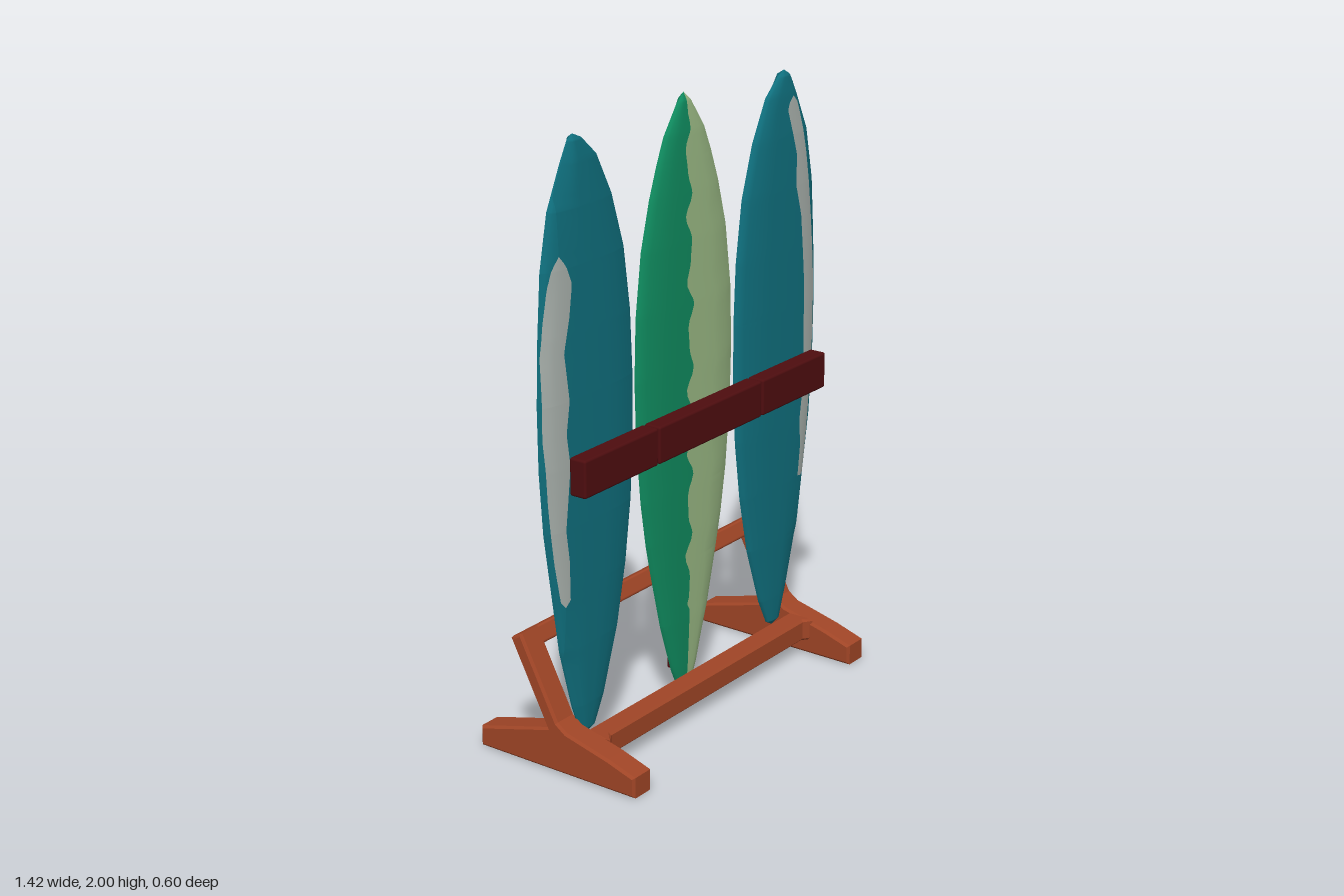
import * as THREE from 'three';
import { RoundedBoxGeometry } from 'three/addons/geometries/RoundedBoxGeometry.js';

const mat = (name, color) => {
  const m = new THREE.MeshStandardMaterial({ color });
  m.name = name;
  return m;
};

// Linear lookup in a table of [y, a, b...] rows with rising y
function lookup(table, y) {
  if (y <= table[0][0]) return table[0].slice(1);
  for (let i = 1; i < table.length; i++) {
    const p = table[i - 1], q = table[i];
    if (y <= q[0]) {
      const t = (y - p[0]) / (q[0] - p[0]);
      return p.slice(1).map((v, k) => v + (q[k + 1] - v) * t);
    }
  }
  return table[table.length - 1].slice(1);
}

// Evenly spaced values from a to b
const span = (a, b, n) => Array.from({ length: n + 1 }, (_, i) => a + (b - a) * i / n);

// Skin made of rows of points; colours[j] is the material of column j
function skin(rows, colours, flip) {
  const n = rows[0].length, index = [];
  const g = new THREE.BufferGeometry();
  g.setAttribute('position', new THREE.Float32BufferAttribute(rows.flat(2), 3));
  for (let j = 0; j < n - 1; j++) {
    g.addGroup(index.length, (rows.length - 1) * 6, colours[j]);
    for (let i = 0; i < rows.length - 1; i++) {
      const a = i * n + j, b = a + 1, c = b + n, d = a + n;
      index.push(...(flip ? [a, c, b, a, d, c] : [a, b, c, a, c, d]));
    }
  }
  g.setIndex(index);
  g.computeVertexNormals();
  return g;
}

// Board outlines: [y, centre x, half width]
const middleOutline = [
  [0.02, 0, 0], [0.035, 0, 0.02], [0.13, 0, 0.065], [0.3, 0, 0.122], [0.5, 0, 0.172],
  [0.6, 0, 0.195], [0.75, 0, 0.22], [0.95, 0, 0.24], [1.15, 0, 0.247], [1.35, 0, 0.24],
  [1.55, 0, 0.213], [1.7, 0, 0.172], [1.8, 0, 0.135], [1.88, 0, 0.1], [1.97, 0, 0.035], [2, 0, 0],
];
const sideOutline = [
  [0.09, 0.5, 0], [0.11, 0.5, 0.035], [0.2, 0.495, 0.075], [0.4, 0.488, 0.137], [0.6, 0.482, 0.175],
  [0.8, 0.484, 0.205], [1, 0.486, 0.219], [1.2, 0.487, 0.221], [1.4, 0.488, 0.212], [1.6, 0.495, 0.19],
  [1.77, 0.505, 0.145], [1.9, 0.508, 0.08], [1.96, 0.525, 0.03], [1.975, 0.53, 0],
];

// Front paint patches: [y, inner x, outer x]
const longPatch = [
  [0.6, 0.6, 0.645], [0.7, 0.61, 0.655], [0.8, 0.6, 0.66], [0.9, 0.615, 0.67], [1.1, 0.615, 0.685],
  [1.3, 0.61, 0.68], [1.5, 0.59, 0.655], [1.6, 0.56, 0.64], [1.7, 0.565, 0.625], [1.8, 0.535, 0.6],
  [1.85, 0.52, 0.585], [1.89, 0.54, 0.57],
];
const shortPatch = [
  [0.57, 0.6, 0.635], [0.7, 0.605, 0.66], [0.8, 0.62, 0.675], [0.9, 0.61, 0.685], [1, 0.6, 0.692],
  [1.1, 0.615, 0.7], [1.2, 0.6, 0.7], [1.35, 0.62, 0.7], [1.45, 0.595, 0.69], [1.55, 0.58, 0.675],
  [1.6, 0.6, 0.66], [1.63, 0.62, 0.64],
];

// Board with a softly domed front and a ridged back; side = -1 mirrors it
function board(name, outline, materials, side, patchAt, backMargin) {
  const group = new THREE.Group();
  group.name = name;
  const widest = Math.max(...outline.map(p => p[2]));
  const y0 = outline[0][0], y1 = outline[outline.length - 1][0];
  const ys = [...new Set([...span(y0, y1, 90), ...outline.map(p => p[0])])].sort((a, b) => a - b);
  const front = [], inner = [], outer = [];
  for (const y of ys) {
    const [cx, hw] = lookup(outline, y);
    const t = Math.sqrt(hw / widest);
    const point = (u, z) => [side * (cx + u * hw), y, z];
    const frontPoint = u => point(u, 0.017 + 0.036 * t * Math.sqrt(Math.max(0, 1 - u ** 4)));
    const backPoint = u => point(u, 0.017 - 0.06 * t * (1 - Math.abs(u)));
    const [a, b] = patchAt(y, cx, hw).map(u => THREE.MathUtils.clamp(u, -0.99, 0.99));
    front.push([-1, -0.985, -0.95, ...span(Math.min(-0.88, a), a, 5), ...span(a, b, 4).slice(1),
      ...span(b, Math.max(b, 0.95), 4).slice(1), Math.max(b, 0.985), 1].map(frontPoint));
    inner.push(span(-1, 0, 4).map(backPoint));
    const m = backMargin(y);
    outer.push([...span(0, m, 4), 1].map(backPoint));
  }
  // columns: inner rail and field, patch, outer field
  const rim = backMargin === fullBack ? 1 : 0;
  const frontColours = [...Array(8).fill(0), ...Array(4).fill(1), ...Array(6).fill(rim)];
  const add = (part, rows, colours, back) => {
    const mesh = new THREE.Mesh(skin(rows, colours, back !== (side < 0)), materials);
    mesh.name = part;
    group.add(mesh);
  };
  add('boardFront', front, frontColours, false);
  add('boardBackInner', inner, Array(4).fill(0), true);
  add('boardBackOuter', outer, [1, 1, 1, 1, rim], true);
  return group;
}

const fullBack = () => 0.99;
const wavyBack = y => (y < 0.22 || y > 1.95 ? 0 : 0.91 + 0.03 * Math.sin(y * 31) + 0.02 * Math.sin(y * 53));
const patchFrom = table => (y, cx, hw) => {
  if (hw < 0.001) return [0.5, 0.5];
  let [a, b] = lookup(table, y);
  if (y < table[0][0] || y > table[table.length - 1][0]) a = b = (a + b) / 2;
  return [(a - cx) / hw, (b - cx) / hw];
};
const wavySeam = (y, cx, hw) => {
  const x = y > 0.35 && y < 1.92 ? -0.011 + 0.013 * Math.sin(y * 34) + 0.006 * Math.sin(y * 57) : 0;
  return [hw < 0.02 ? 0 : x / hw, 0.99];
};

export function createModel() {
  const model = new THREE.Group();
  model.name = 'boardRack';
  const wood = mat('wood', 0xa04526);
  const darkRed = mat('darkRed', 0x4e0d0f);
  const teal = mat('teal', 0x0f6f7d);
  const green = mat('green', 0x0f8a5e);
  const lightGreen = mat('lightGreen', 0x9ab984);
  const grey = mat('grey', 0xa9b1ac);

  const box = (name, material, size, pos, tilt = 0, radius = 0.008) => {
    const mesh = new THREE.Mesh(new RoundedBoxGeometry(...size, 2, radius), material);
    mesh.name = name;
    mesh.position.set(...pos);
    mesh.rotation.x = tilt;
    model.add(mesh);
  };

  // Boards
  model.add(board('middleBoard', middleOutline, [green, lightGreen], 1, wavySeam, fullBack));
  model.add(board('leftBoard', sideOutline, [teal, grey], 1, patchFrom(longPatch), wavyBack));
  model.add(board('rightBoard', sideOutline, [teal, grey], -1, patchFrom(shortPatch), wavyBack));

  // Fins on the backs
  box('middleFin', darkRed, [0.018, 0.15, 0.04], [0, 0.18, -0.02], 0, 0.004);
  for (const s of [-1, 1]) box('sideFin', darkRed, [0.016, 0.08, 0.03], [s * 0.495, 0.25, -0.015], 0, 0.004);

  // Padded front rail in three lengths
  for (const [a, b] of [[-0.63, -0.276], [-0.27, 0.266], [0.272, 0.627]])
    box('frontPad', darkRed, [b - a, 0.12, 0.06], [(a + b) / 2, 0.98, 0.1]);

  // Feet with leaning arms: profile in (z, y)
  const profile = new THREE.Shape([
    [0.3, 0], [0.3, 0.068], [0.2, 0.1], [0.04, 0.14], [0.005, 0.165], [-0.13, 0.425], [-0.172, 0.4],
    [-0.035, 0.138], [-0.3, 0.066], [-0.3, 0],
  ].reverse().map(p => new THREE.Vector2(...p)));
  const footGeometry = new THREE.ExtrudeGeometry(profile, {
    depth: 0.072, bevelSize: 0.008, bevelThickness: 0.008, bevelOffset: -0.008, bevelSegments: 1,
  }).translate(0, 0, -0.036).rotateY(-Math.PI / 2);
  for (const s of [-1, 1]) {
    const foot = new THREE.Mesh(footGeometry, wood);
    foot.name = 'foot';
    foot.position.x = s * 0.585;
    model.add(foot);
  }

  // Lower front rail with flared ends, and the back rail
  const rail = new THREE.Shape([
    [-0.55, 0.055], [0.55, 0.055], [0.55, 0.15], [0.52, 0.13], [-0.52, 0.13], [-0.55, 0.15],
  ].map(p => new THREE.Vector2(...p)));
  const lowerRail = new THREE.Mesh(new THREE.ExtrudeGeometry(rail, {
    depth: 0.06, bevelSize: 0.008, bevelThickness: 0.008, bevelOffset: -0.008, bevelSegments: 1,
  }).rotateX(Math.PI / 2), wood);
  lowerRail.name = 'lowerRail';
  lowerRail.position.y = 0.118;
  model.add(lowerRail);
  box('backRail', wood, [1.255, 0.058, 0.046], [0, 0.388, -0.138], -0.48);

  return model;
}
